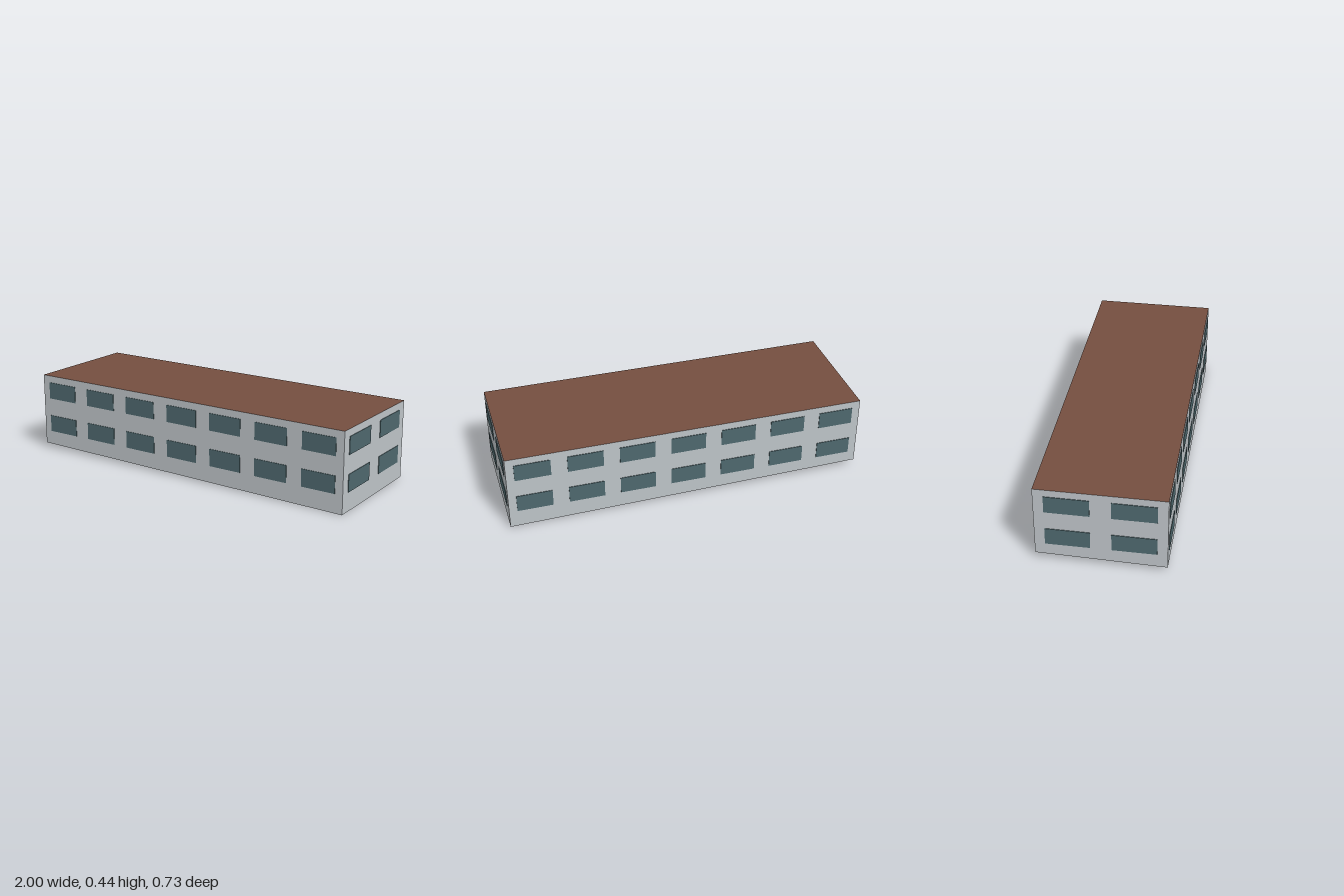
import * as THREE from 'three';

const mat = (name, color) => {
  const m = new THREE.MeshStandardMaterial({ color });
  m.name = name;
  return m;
};

export function createModel() {
  const wall = mat('pale grey wall', 0xbec4c8);
  const roof = mat('brown roof', 0x754e40);
  const glass = mat('blue-grey window', 0x4e686e);

  const L = 1.976, W = 0.675, top = 0.44;
  const building = new THREE.Group();
  building.name = 'building';
  building.rotation.y = -0.028;

  // Block with a flat roof; the foot of the walls follows the sloping ground
  const geo = new THREE.BoxGeometry(L, top, W);
  geo.translate(0, top / 2, 0);
  const p = geo.attributes.position;
  for (let i = 0; i < p.count; i++) {
    if (p.getY(i) > 0.1) continue;
    const front = p.getZ(i) > 0;
    p.setY(i, p.getX(i) > 0 ? (front ? 0 : 0.005) : (front ? 0.026 : 0.04));
  }
  geo.computeVertexNormals();
  const block = new THREE.Mesh(geo, [wall, wall, roof, wall, wall, wall]);
  block.name = 'wallsAndRoof';
  building.add(block);

  // Two rows of evenly spaced windows on one face of the block
  const addWindows = (name, turn, length, distance, count, width) => {
    const side = new THREE.Group();
    side.name = name;
    side.rotation.y = turn;
    const pane = new THREE.BoxGeometry(width, 0.096, 0.006);
    for (const y of [0.153, 0.352]) {
      for (let i = 0; i < count; i++) {
        const m = new THREE.Mesh(pane, glass);
        m.name = 'window';
        m.position.set(((i + 0.5) / count - 0.5) * length, y, distance);
        side.add(m);
      }
    }
    building.add(side);
  };
  addWindows('frontWindows', 0, L, W / 2, 7, 0.194);
  addWindows('backWindows', Math.PI, L, W / 2, 7, 0.194);
  addWindows('leftWindows', Math.PI / 2, W, L / 2, 2, 0.23);
  addWindows('rightWindows', -Math.PI / 2, W, L / 2, 2, 0.23);

  const model = new THREE.Group();
  model.name = 'model';
  model.add(building);
  return model;
}
